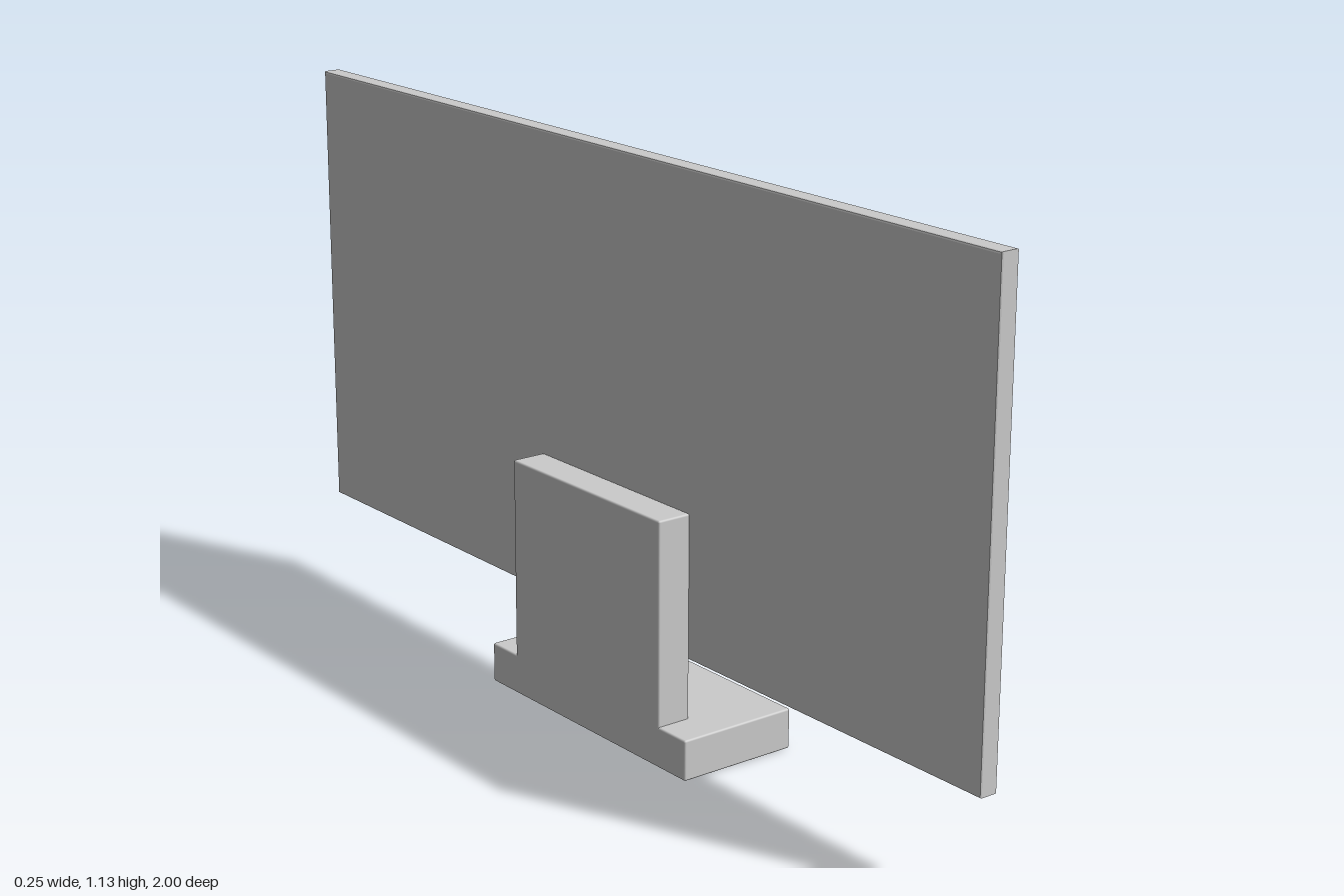
import * as THREE from 'three';
import { RoundedBoxGeometry } from 'three/addons/geometries/RoundedBoxGeometry.js';

const grey = new THREE.MeshStandardMaterial({ color: 0xcccccc });
const dark = new THREE.MeshStandardMaterial({ color: 0x555555 });

// Soft-edged box given by its extents along each axis
function block(name, [x0, x1], [y0, y1], [z0, z1], radius, material = grey) {
  const geometry = new RoundedBoxGeometry(x1 - x0, y1 - y0, z1 - z0, 2, radius);
  const mesh = new THREE.Mesh(geometry, material);
  mesh.name = name;
  mesh.position.set((x0 + x1) / 2, (y0 + y1) / 2, (z0 + z1) / 2);
  return mesh;
}

// Rectangle centred on the first axis, from y0 to y1
function rectangle(Type, halfWidth, y0, y1) {
  return new Type([
    new THREE.Vector2(-halfWidth, y0), new THREE.Vector2(halfWidth, y0),
    new THREE.Vector2(halfWidth, y1), new THREE.Vector2(-halfWidth, y1),
  ]);
}

export function createModel() {
  const model = new THREE.Group();
  model.name = 'monitor';

  // Bezel: bevelled frame with a rectangular opening, facing +x
  const bevel = 0.004;
  const back = -0.057, front = -0.018;
  const outline = rectangle(THREE.Shape, 1 - bevel, 0.199 + bevel, 1.127 - bevel);
  outline.holes.push(rectangle(THREE.Path, 0.925 + bevel, 0.243 - bevel, 1.08 + bevel));
  const frameGeometry = new THREE.ExtrudeGeometry(outline, {
    depth: front - back - 2 * bevel,
    bevelEnabled: true, bevelSize: bevel, bevelThickness: bevel, bevelSegments: 2,
  });
  frameGeometry.rotateY(Math.PI / 2);
  frameGeometry.translate(back + bevel, 0, 0);
  const frame = new THREE.Mesh(frameGeometry, grey);
  frame.name = 'bezel';
  model.add(frame);

  // Back cover closing the frame, and the recessed screen in front of it
  const cover = new THREE.Mesh(new THREE.BoxGeometry(0.004, 0.88, 1.9), grey);
  cover.name = 'backCover';
  cover.position.set(back + 0.002, 0.663, 0);
  model.add(cover);
  const screen = new THREE.Mesh(new THREE.BoxGeometry(0.005, 0.845, 1.86), dark);
  screen.name = 'screen';
  screen.position.set(-0.0485, 0.6615, 0);
  model.add(screen);

  // Stand
  model.add(block('standColumn', [-0.128, -0.056], [0.07, 0.486], [-0.229, 0.229], 0.004));
  model.add(block('standBase', [-0.128, 0.125], [0, 0.081], [-0.308, 0.308], 0.004));
  return model;
}
